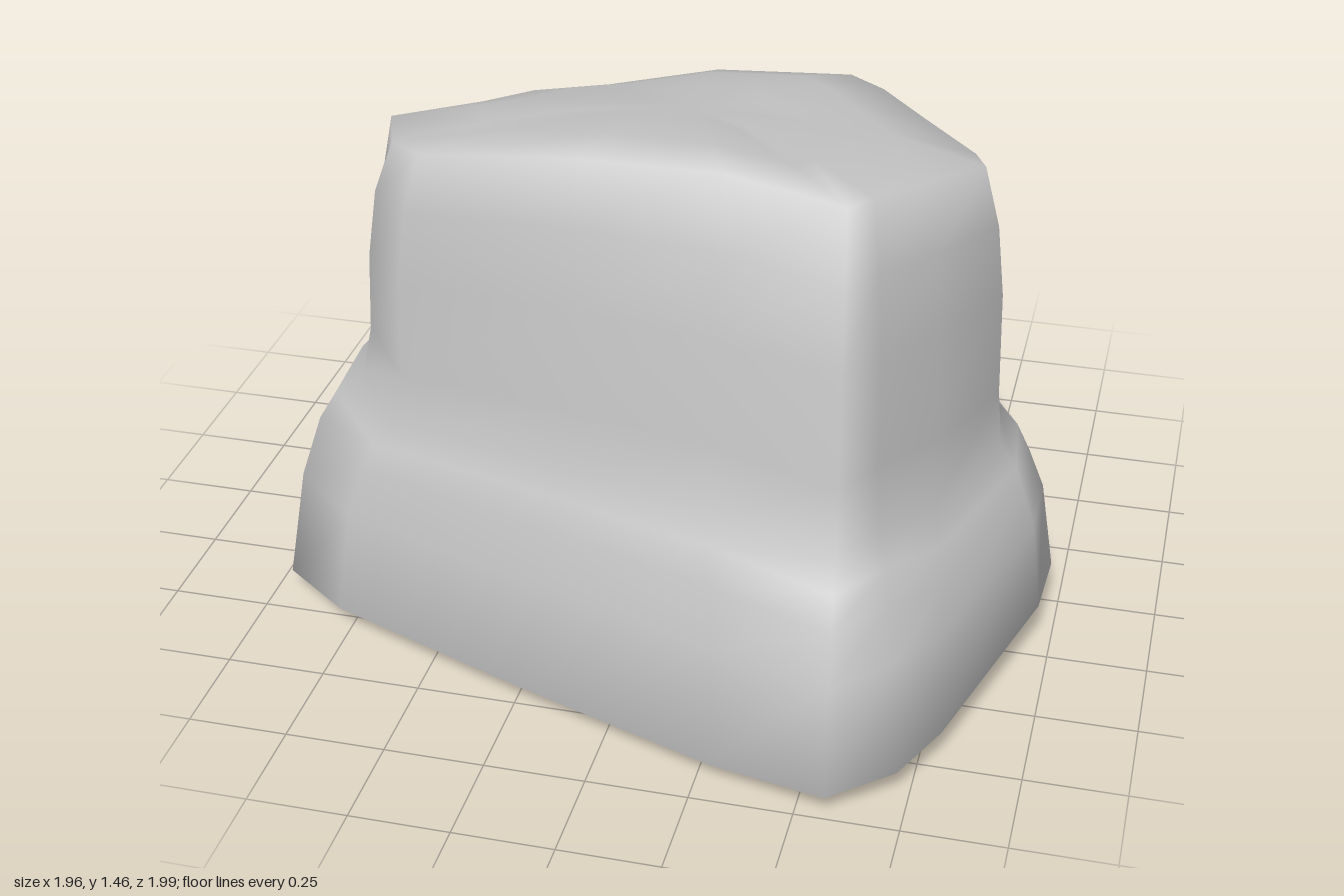
import * as THREE from 'three';

// Plan outlines [x, z], running from the front right corner towards the back
const base = [[0.57, 0.99], [0.72, 0.88], [0.8, 0.72], [0.965, 0.19], [0.975, 0], [0.74, -0.33], [0.48, -0.72], [0.23, -0.99], [-0.2, -0.995],
  [-0.64, -1], [-0.88, -0.7], [-0.97, -0.49], [-0.98, 0.05], [-0.96, 0.41], [-0.78, 0.54], [-0.25, 0.74], [0.28, 0.92]];
const waist = [[0.55, 0.82], [0.62, 0.71], [0.72, 0.48], [0.83, 0.2], [0.79, 0.02], [0.63, -0.3], [0.43, -0.62], [0.24, -0.89], [-0.15, -0.93],
  [-0.51, -0.92], [-0.65, -0.72], [-0.7, -0.41], [-0.77, 0.1], [-0.72, 0.35], [-0.57, 0.55], [-0.1, 0.68], [0.25, 0.77]];
// Top edge [x, z, y]
const rim = [[0.53, 0.7, 1.43], [0.57, 0.6, 1.41], [0.67, 0.38, 1.36], [0.76, 0.15, 1.3], [0.72, 0.02, 1.27], [0.55, -0.27, 1.22],
  [0.4, -0.56, 1.16], [0.28, -0.75, 1.11], [-0.1, -0.79, 1.07], [-0.42, -0.82, 0.98], [-0.58, -0.62, 1.03], [-0.62, -0.3, 1.13],
  [-0.72, 0.12, 1.26], [-0.63, 0.36, 1.31], [-0.5, 0.54, 1.37], [-0.1, 0.62, 1.44], [0.25, 0.67, 1.465]];

// Wall rings from bottom to top: outline blend (0 base, 1 waist, 2 rim), height fraction, scale, ledge strength
const walls = [
  [0, 0, 0.5, 0], [0, 0, 0.88, 0], [0, 0.03, 1, 0], [0.2, 0.24, 1, 0.4], [0.42, 0.34, 1, 1], [0.6, 0.4, 1, 1],
  [0.9, 0.45, 1, 1], [1, 0.56, 1, 0.7], [1.1, 0.75, 1, 0], [1.4, 0.89, 1, 0], [2, 1, 1, 0],
];
const crownScales = [0.7, 0.35];
const crownY = 1.31;

const lerp = THREE.MathUtils.lerp;
const floorY = (x, z) => Math.max(0, 0.035 - 0.035 * z + 0.09 * Math.max(0, x - 0.4));

function rockGeometry() {
  const n = base.length;
  const positions = [];
  const indices = [];
  for (const [blend, fraction, scale, ledge] of walls) {
    for (let i = 0; i < n; i++) {
      const [from, to] = blend < 1 ? [base[i], waist[i]] : [waist[i], rim[i]];
      const t = blend < 1 ? blend : blend - 1;
      const x = lerp(from[0], to[0], t) * scale;
      const z = lerp(from[1], to[1], t) * scale;
      // The ledge climbs towards the back and left, and wavers a little
      const f = fraction + ledge * (0.12 * Math.max(0, -z) - 0.04 * x + 0.02 * Math.sin(i * 2.1));
      positions.push(x, lerp(floorY(x, z), rim[i][2], f), z);
    }
  }
  // Gently domed, sloping top
  for (const s of crownScales) {
    for (const [x, z, y] of rim) positions.push(x * s, lerp(crownY, y, s) + 0.1 * s * (1 - s), z * s);
  }
  // Bands between neighbouring rings
  const ringCount = walls.length + crownScales.length;
  for (let r = 0; r < ringCount - 1; r++) {
    for (let i = 0; i < n; i++) {
      const a = r * n + i, b = r * n + (i + 1) % n, c = b + n, d = a + n;
      indices.push(a, b, c, a, c, d);
    }
  }
  // Underside and top centres
  const bottom = positions.length / 3;
  const top = bottom + 1;
  positions.push(0, floorY(0, 0), 0, 0, crownY, 0);
  const last = (ringCount - 1) * n;
  for (let i = 0; i < n; i++) {
    const j = (i + 1) % n;
    indices.push(j, i, bottom, last + i, last + j, top);
  }
  const geometry = new THREE.BufferGeometry();
  geometry.setAttribute('position', new THREE.Float32BufferAttribute(positions, 3));
  geometry.setIndex(indices);
  geometry.computeVertexNormals();
  return geometry;
}

export function createModel() {
  const stone = new THREE.MeshStandardMaterial({ color: 0xcccccc });
  stone.name = 'stone grey';
  const rock = new THREE.Mesh(rockGeometry(), stone);
  rock.name = 'rock';
  const model = new THREE.Group();
  model.name = 'boulder';
  model.add(rock);
  return model;
}
